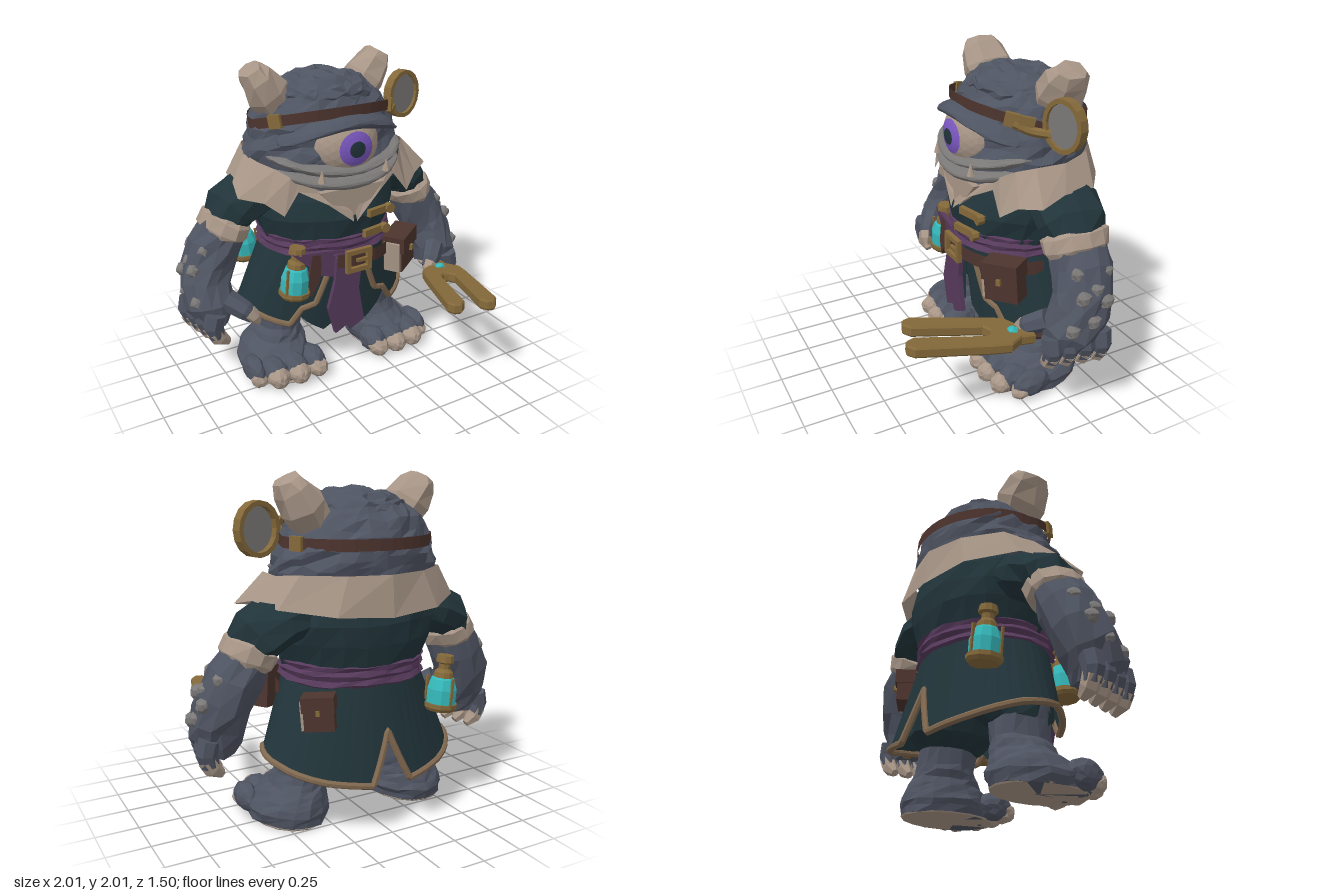
import * as THREE from 'three';

const mat = (name, color) => new THREE.MeshStandardMaterial({ name, color, side: THREE.DoubleSide });
const V = (x, y, z) => new THREE.Vector3(x, y, z);
const SIDES = [1, -1];

export function createModel() {
  const skin = mat('slate skin', 0x4f5462), pale = mat('pale skin', 0x7a7877), bone = mat('bone and linen', 0xa89687);
  const teal = mat('teal cloth', 0x21343a), trim = mat('tan trim', 0x80684f), gold = mat('old gold', 0x84693a);
  const sash = mat('plum cloth', 0x573a5c), iris = mat('violet iris', 0x7b58c2);
  const leather = mat('brown leather', 0x4d342e), glow = mat('cyan glow', 0x35b8ba);
  const root = new THREE.Group();

  // Repeatable position hash, for rough hide and crumpled cloth
  const hash = (x, y, z, k) => {
    const q = Math.sin(Math.round(x * 1e3) * 12.99 + Math.round(y * 1e3) * 78.23 + Math.round(z * 1e3) * 37.72 + k) * 43758.5;
    return q - Math.floor(q) - 0.5;
  };
  // Adds a flat-shaded mesh
  const add = (name, m, geo, pos, parent = root, jit = 0) => {
    const g = geo.index ? geo.toNonIndexed() : geo, p = g.attributes.position;
    if (jit) for (let i = 0; i < p.count; i++) {
      const [x, y, z] = [p.getX(i), p.getY(i), p.getZ(i)];
      p.setXYZ(i, x + jit * hash(x, y, z, 1), y + jit * hash(x, y, z, 2), z + jit * hash(x, y, z, 3));
    }
    g.computeVertexNormals();
    const mesh = new THREE.Mesh(g, m);
    mesh.name = name;
    if (pos) mesh.position.set(...pos);
    parent.add(mesh);
    return mesh;
  };
  const box = (name, m, size, pos, parent) => add(name, m, new THREE.BoxGeometry(...size), pos, parent);
  // Faceted ellipsoid, its ends bent up or down by bend
  const blob = (name, m, pos, r, jit = 0, detail = 2, bend = 0) => {
    const g = new THREE.IcosahedronGeometry(1, detail).scale(...r), p = g.attributes.position;
    for (let i = 0; i < p.count; i++) p.setY(i, p.getY(i) + bend * p.getX(i) ** 2);
    return add(name, m, g, pos, root, jit);
  };
  const tube = (name, m, pts, r, n = 24, tension = 0.5) =>
    add(name, m, new THREE.TubeGeometry(new THREE.CatmullRomCurve3(pts.map(p => V(...p)), false, 'catmullrom', tension), n, r, 7));
  // Skins a stack of closed rings and caps both ends
  const stack = (name, m, rings, jit) => {
    const n = rings[0].length, pos = [], idx = [], last = rings.length - 1;
    rings.forEach(r => r.forEach(v => pos.push(v.x, v.y, v.z)));
    for (const r of [rings[0], rings[last]]) {
      const c = r.reduce((s, v) => s.add(v), V(0, 0, 0)).divideScalar(n);
      pos.push(c.x, c.y, c.z);
    }
    const c0 = n * rings.length;
    for (let j = 0; j < n; j++) {
      const k = (j + 1) % n;
      for (let i = 0; i < last; i++) {
        const a = i * n + j, b = i * n + k;
        idx.push(a, b, b + n, a, b + n, a + n);
      }
      idx.push(c0, k, j, c0 + 1, last * n + j, last * n + k);
    }
    const g = new THREE.BufferGeometry();
    g.setAttribute('position', new THREE.Float32BufferAttribute(pos, 3));
    g.setIndex(idx);
    return add(name, m, g, null, root, jit);
  };
  // Upright loft from rows of [y, half width, front z, back z, centre x]
  const loft = (name, m, rows, seg, jit = 0, sub = 1) => {
    const rings = [];
    for (let i = 0; i <= (rows.length - 1) * sub; i++) {
      const k = Math.min(Math.floor(i / sub), rows.length - 2), t = i / sub - k;
      const [y, w, f, b, cx] = [0, 1, 2, 3, 4].map(q => THREE.MathUtils.lerp(rows[k][q] || 0, rows[k + 1][q] || 0, t));
      rings.push(Array.from({ length: seg }, (_, j) => {
        const a = j / seg * Math.PI * 2;
        return V(cx + w * Math.sin(a), y, (f + b) / 2 + (f - b) / 2 * Math.cos(a));
      }));
    }
    return stack(name, m, rings, jit);
  };
  // Limb along points [x, y, z, radius, radius in z], mirrored by s
  const limb = (name, m, pts, s = 1, seg = 9, jit = 0) => {
    const P = pts.map(p => V(p[0] * s, p[1], p[2]));
    return stack(name, m, P.map((c, i) => {
      const t = P[Math.min(i + 1, P.length - 1)].clone().sub(P[Math.max(i - 1, 0)]).normalize();
      const b = V(0, 0, 1).addScaledVector(t, -t.z).normalize(), n = b.clone().cross(t);
      return Array.from({ length: seg }, (_, j) => {
        const a = j / seg * Math.PI * 2;
        return c.clone().addScaledVector(n, pts[i][3] * Math.cos(a)).addScaledVector(b, (pts[i][4] || pts[i][3]) * Math.sin(a));
      });
    }), jit);
  };
  // Open strip between a lower and an upper edge
  const strip = (name, m, lo, hi) => {
    const pos = [];
    for (let i = 0; i < lo.length - 1; i++)
      pos.push(...lo[i], ...lo[i + 1], ...hi[i + 1], ...lo[i], ...hi[i + 1], ...hi[i]);
    const g = new THREE.BufferGeometry();
    g.setAttribute('position', new THREE.Float32BufferAttribute(pos, 3));
    return add(name, m, g);
  };
  const arc = (n, a0, a1, f) => Array.from({ length: n + 1 }, (_, i) => f(a0 + (a1 - a0) * i / n));
  const plate = (name, m, pts, depth, pos, parent) =>
    add(name, m, new THREE.ExtrudeGeometry(new THREE.Shape(pts.map(p => new THREE.Vector2(...p))), { depth, bevelEnabled: false }), pos, parent);

  // Head
  loft('head', skin, [[1.2, .18, 0, -.45], [1.25, .34, .05, -.58], [1.35, .46, .11, -.64], [1.45, .5, .1, -.67], [1.55, .48, .07, -.68],
    [1.65, .44, .08, -.67], [1.75, .385, .04, -.62], [1.84, .29, -.04, -.53]], 30, .035, 2);
  blob('crown', skin, [0, 1.79, -.28], [.32, .125, .285], .035, 5);
  blob('eyeball', bone, [0, 1.53, -.02], [.225, .21, .19], 0, 4);
  [['iris', iris, .51, 1.012], ['pupil', teal, .23, 1.024]].forEach(([name, m, th, k]) =>
    add(name, m, new THREE.SphereGeometry(k, 20, 4, 0, Math.PI * 2, 0, th).rotateX(Math.PI / 2).scale(.225, .21, .19), [0, 1.53, -.02]));
  blob('brow', skin, [0, 1.675, -.08], [.4, .065, .255], .008, 4, -.75);
  blob('chin', skin, [0, 1.26, -.12], [.36, .06, .22], .008, 4, .2);
  blob('upperMuzzle', pale, [0, 1.39, -.13], [.45, .062, .3], .006, 5, .42);
  blob('lowerJaw', pale, [0, 1.315, -.12], [.43, .068, .3], .006, 5, .42);
  for (const s of SIDES) {
    add('tooth', bone, new THREE.ConeGeometry(.025, .08, 6), [.22 * s, 1.395, .135]);
    const z = -.325 - .035 * s;
    limb('horn', bone, [[.28, 1.7, z, .11, .13], [.355, 1.82, z, .135, .165], [.43, 1.915, z, .1, .145], [.462, 1.96, z, .075, .1]], s, 7, .02);
  }

  // Head strap and lens
  const strapAt = h => a => [.455 * Math.sin(a), 1.63 + .115 * Math.max(0, Math.cos(a)) + h, -.3 + .4 * Math.cos(a)];
  strip('headStrap', leather, arc(40, 0, Math.PI * 2, strapAt(-.032)), arc(40, 0, Math.PI * 2, strapAt(.032)));
  for (const a of [-1.05, .9, 1.1, 1.9]) {
    const b = box('strapBuckle', gold, [.085, .08, .03], strapAt(0)(a));
    b.rotation.set(0, a, a < 1.5 ? -.2 * Math.sign(a) : 0, 'YXZ');
  }
  tube('lensArm', gold, [[.36, 1.68, -.06], [.42, 1.64, -.14], [.49, 1.63, -.22]], .028, 8);
  const lens = new THREE.Group();
  lens.name = 'eyeLens';
  lens.position.set(.58, 1.7, -.25);
  lens.rotation.y = .25;
  root.add(lens);
  const rim = new THREE.Shape().absellipse(0, 0, .14, .155, 0, Math.PI * 2);
  rim.holes.push(new THREE.Path().absellipse(0, 0, .113, .128, 0, Math.PI * 2));
  add('lensRim', gold, new THREE.ExtrudeGeometry(rim, { depth: .06, bevelEnabled: false, curveSegments: 8 }), [0, 0, -.03], lens);
  add('lensGlass', pale, new THREE.CircleGeometry(1, 16).scale(.115, .13, 1), [0, 0, .01], lens);

  // Jacket and collar
  loft('jacket', teal, [[.84, .4, .07, -.6], [.95, .43, .11, -.65], [1.08, .47, .13, -.69], [1.2, .5, .07, -.69],
    [1.32, .46, 0, -.67], [1.44, .36, -.08, -.6]], 22, .025);
  const mirrorList = half => [...half, ...half.slice(0, -1).reverse().map(([x, y, z]) => [-x, y, z])];
  strip('collar', bone,
    mirrorList([[.01, 1.07, .15], [.17, 1.2, .115], [.33, 1.29, .05], [.43, 1.16, .06], [.53, 1.24, 0], [.66, 1.27, -.08], [.62, 1.31, -.25], [.57, 1.29, -.48], [.32, 1.26, -.68], [0, 1.24, -.73]]),
    mirrorList([[.01, 1.13, .13], [.14, 1.25, .08], [.32, 1.34, .04], [.37, 1.38, .03], [.43, 1.42, -.04], [.5, 1.45, -.13], [.51, 1.45, -.32], [.45, 1.47, -.5], [.24, 1.47, -.65], [0, 1.47, -.71]]));
  plate('neckScarf', bone, [[-.22, 1.28], [-.1, 1.15], [0, 1.06], [.1, 1.15], [.22, 1.28]], .04, [0, 0, .075]);
  [[.19, 1.09, .11], [.15, .97, .125]].forEach(p => {
    const bar = box('claspBar', gold, [.19, .045, .03], p);
    bar.rotation.set(0, .3, -.06);
    add('claspKnob', gold, new THREE.CylinderGeometry(.032, .032, .04, 8).rotateX(Math.PI / 2), [p[0] + .08, p[1], p[2] - .005]);
  });

  // Coat skirt with stepped front opening and back notch
  const skirtAt = (a, y, k = 1) => {
    const t = (.9 - y) / .55, f = .08 - .03 * t, b = -.62 - .11 * t;
    return [k * (.41 + .21 * t) * Math.sin(a), y, (f + b) / 2 + k * (f - b) / 2 * Math.cos(a)];
  };
  const divide = keys => keys.slice(0, -1).flatMap(([a, y], i) => {
    const [a2, y2] = keys[i + 1];
    return [0, .25, .5, .75].map(t => [a + (a2 - a) * t, y + (y2 - y) * t]);
  }).concat([keys.at(-1)]);
  const hemHalf = divide([[.28, .74], [.4, .5], [.56, .47], [.66, .36], [1.3, .44], [1.9, .4], [2.5, .33], [2.95, .29], [Math.PI, .58]]);
  const hem = [...hemHalf, ...hemHalf.slice(0, -1).reverse().map(([a, y]) => [Math.PI * 2 - a, y])];
  strip('coatSkirt', teal, hem.map(([a, y]) => skirtAt(a, y)), hem.map(([a]) => skirtAt(a, .9)));
  tube('hemTrim', trim, hem.map(([a, y]) => skirtAt(a, y + .008)), .02, 260, 0);
  const flapHem = divide([[.02, .6], [.07, .37], [.26, .29], [.48, .37], [.75, .5]]);
  for (const s of SIDES) {
    strip('frontFlap', teal, flapHem.map(([a, y]) => skirtAt(a * s, y, .96)), flapHem.map(([a]) => skirtAt(a * s, .88, .96)));
    loft('trouserLeg', teal, [[.38, .16, -.1, -.47, .32 * s], [.45, .2, -.03, -.55, .28 * s], [.65, .21, .01, -.58, .22 * s], [.85, .2, .02, -.58, .2 * s]], 12, .02);
  }

  // Sash and belt
  loft('sash', sash, [[.835, .42, .09, -.63], [.85, .445, .12, -.655], [.88, .43, .105, -.64], [.905, .445, .12, -.66], [.93, .43, .11, -.65],
    [.955, .44, .115, -.66], [.97, .42, .09, -.63]], 26, .014);
  plate('sashTail', sash, [[-.12, .84], [.07, .84], [.04, .6], [.08, .36], [-.02, .31], [-.05, .35], [-.13, .31], [-.18, .5], [-.13, .68]], .03, [0, 0, .1]);
  plate('sashDrape', sash, [[-.38, .9], [-.05, .88], [.03, .78], [-.06, .69], [-.2, .73]], .03, [-.01, 0, .085]).rotation.y = -.1;
  const beltAt = y => a => [.46 * Math.sin(a), y - .03 * Math.sin(a), -.265 + .41 * Math.cos(a)];
  strip('belt', leather, arc(14, -.25, 1.5, beltAt(.765)), arc(14, -.25, 1.5, beltAt(.855)));
  for (const s of SIDES) {
    box('buckleSide', gold, [.03, .15, .03], [.02 + .075 * s, .81, .155]);
    box('buckleBar', gold, [.16, .03, .03], [.02, .81 + .06 * s, .155]);
  }
  box('bucklePin', gold, [.09, .02, .02], [.05, .81, .16]);
  plate('flaskStrap', leather, [[-.27, .88], [-.2, .87], [-.22, .7], [-.28, .6], [-.3, .7]], .02, [0, 0, .075]);

  // Pouches with pages
  [[.42, .74, .01, .6, 1.08], [.37, .72, -.57, 2.5, .85]].forEach(([x, y, z, turn, k]) => {
    const g = new THREE.Group();
    g.name = 'pouch';
    g.position.set(x, y, z);
    g.rotation.set(0, turn, .08);
    g.scale.setScalar(k);
    root.add(g);
    box('pouchBody', leather, [.2, .22, .12], [0, 0, 0], g);
    box('pouchFlap', leather, [.215, .1, .14], [0, .07, .005], g);
    box('pouchPages', bone, [.03, .19, .1], [-.105, -.01, 0], g);
    box('pouchStud', gold, [.025, .035, .02], [0, .02, .08], g);
  });

  // Glowing flasks
  const lathe = pts => new THREE.LatheGeometry(pts.map(p => new THREE.Vector2(...p)), 10);
  [[-.37, .6, .03, .1], [-.42, .62, -.6, -.1]].forEach(([x, y, z, tilt]) => {
    const g = new THREE.Group();
    g.name = 'flask';
    g.position.set(x, y, z);
    g.rotation.z = -tilt;
    root.add(g);
    add('flaskBase', gold, lathe([[0, 0], [.085, 0], [.1, .02], [.1, .045], [0, .045]]), null, g);
    add('flaskGlass', glow, lathe([[.088, .04], [.09, .13], [.07, .19], [.035, .22], [0, .22]]), null, g);
    add('flaskNeck', gold, lathe([[.06, .2], [.055, .23], [.035, .25], [.035, .28], [.055, .29], [.05, .33], [0, .33]]), null, g);
    for (let i = 0; i < 3; i++) {
      const a = i * Math.PI * 2 / 3 + .5;
      box('flaskRib', gold, [.014, .17, .014], [.09 * Math.cos(a), .12, .09 * Math.sin(a)], g);
    }
  });

  // Arms, hands, legs and feet
  for (const s of SIDES) {
    limb('sleeve', teal, [[.34, 1.24, -.32, .16, .2], [.5, 1.2, -.32, .16, .22], [.62, 1.13, -.31, .155, .215], [.67, 1.04, -.3, .13, .18]], s, 11, .03);
    limb('cuff', bone, [[.645, 1.09, -.3, .125, .185], [.655, 1.07, -.3, .155, .21], [.69, 1, -.3, .15, .205], [.7, .975, -.3, .12, .18]], s, 12, .016);
    limb('forearm', skin, [[.67, 1.04, -.3, .13, .17], [.75, .9, -.3, .155, .185], [.805, .78, -.28, .16, .18], [.835, .68, -.24, .155, .175],
      [.835, .57, -.19, .145, .18], [.825, .48, -.18, .11, .16]], s, 13, .03);
    for (let i = 0; i < 4; i++) {
      const z = -.04 - .095 * i, x = .02 * i;
      limb('finger', skin, [[.86 + x, .58, z, .065], [.88 + x, .5, z, .062], [.86 + x, .43, z, .052]], s, 7);
      limb('fingerClaw', bone, [[.875 + x, .47, z, .057], [.845 + x, .41, z, .052], [.79 + x, .37, z, .025]], s, 6);
    }
    limb('thumb', skin, [[.77, .64, -.07, .07], [.69, .58, .01, .06], [.65, .54, .03, .045]], s, 7);
    limb('thumbClaw', bone, [[.675, .575, .03, .05], [.645, .54, .045, .042], [.625, .5, .05, .02]], s, 6);
    [[.85, .93, -.2], [.87, .92, -.37], [.93, .82, -.19], [.95, .78, -.33], [.965, .68, -.24], [.945, .64, -.12], [.92, .85, -.28]].forEach(([x, y, z]) =>
      blob('armWart', pale, [x * s, y, z], [.036, .042, .045], .014, 1));
    loft('sole', bone, [[0, .215, .08, -.5, .41 * s], [.008, .22, .085, -.505, .41 * s]], 16);
    loft('legAndFoot', skin, [[.006, .22, .06, -.5, .41 * s], [.08, .24, .06, -.52, .41 * s], [.15, .205, .02, -.5, .395 * s], [.21, .165, -.07, -.47, .365 * s],
      [.28, .145, -.1, -.46, .345 * s], [.5, .16, -.1, -.46, .32 * s]], 16, .018, 2);
    [[.235, .07, 1], [.37, .08, 1.05], [.51, .065, 1.05], [.615, 0, .8]].forEach(([x, z, k]) => {
      blob('toe', skin, [x * s, .085, z - .08], [.078 * k, .086, .125], .012, 2);
      blob('toeClaw', bone, [x * s, .066 * k, z], [.066 * k, .066 * k, .076 * k], .012, 2);
    });
  }

  // Two-pronged fork held in the left hand
  const fork = new THREE.Group();
  fork.name = 'tuningFork';
  fork.position.set(.71, .535, .05);
  fork.rotation.set(-.1, -.3, 0, 'YXZ');
  root.add(fork);
  const halfFork = [[.04, -.05], [.055, .03], [.125, .1], [.135, .2], [.15, .64], [.125, .68], [.085, .68], [.055, .64], [.055, .23], [.02, .19]];
  const forkShape = new THREE.Shape([...halfFork, ...[...halfFork].reverse().map(([x, y]) => [-x, y])].map(p => new THREE.Vector2(...p)));
  add('forkHead', gold, new THREE.ExtrudeGeometry(forkShape, { depth: .045, bevelThickness: .012, bevelSize: .008, bevelSegments: 1 })
    .translate(0, 0, -.022).rotateX(Math.PI / 2), null, fork);
  add('forkGem', glow, new THREE.IcosahedronGeometry(.035, 0).scale(1, .6, 1.1), [0, .035, .07], fork);
  add('forkHandle', leather, new THREE.CylinderGeometry(.028, .028, .3, 8).rotateX(Math.PI / 2), [0, 0, -.18], fork);
  add('forkPommel', gold, new THREE.CylinderGeometry(.035, .035, .05, 8).rotateX(Math.PI / 2), [0, 0, -.34], fork);
  return root;
}
